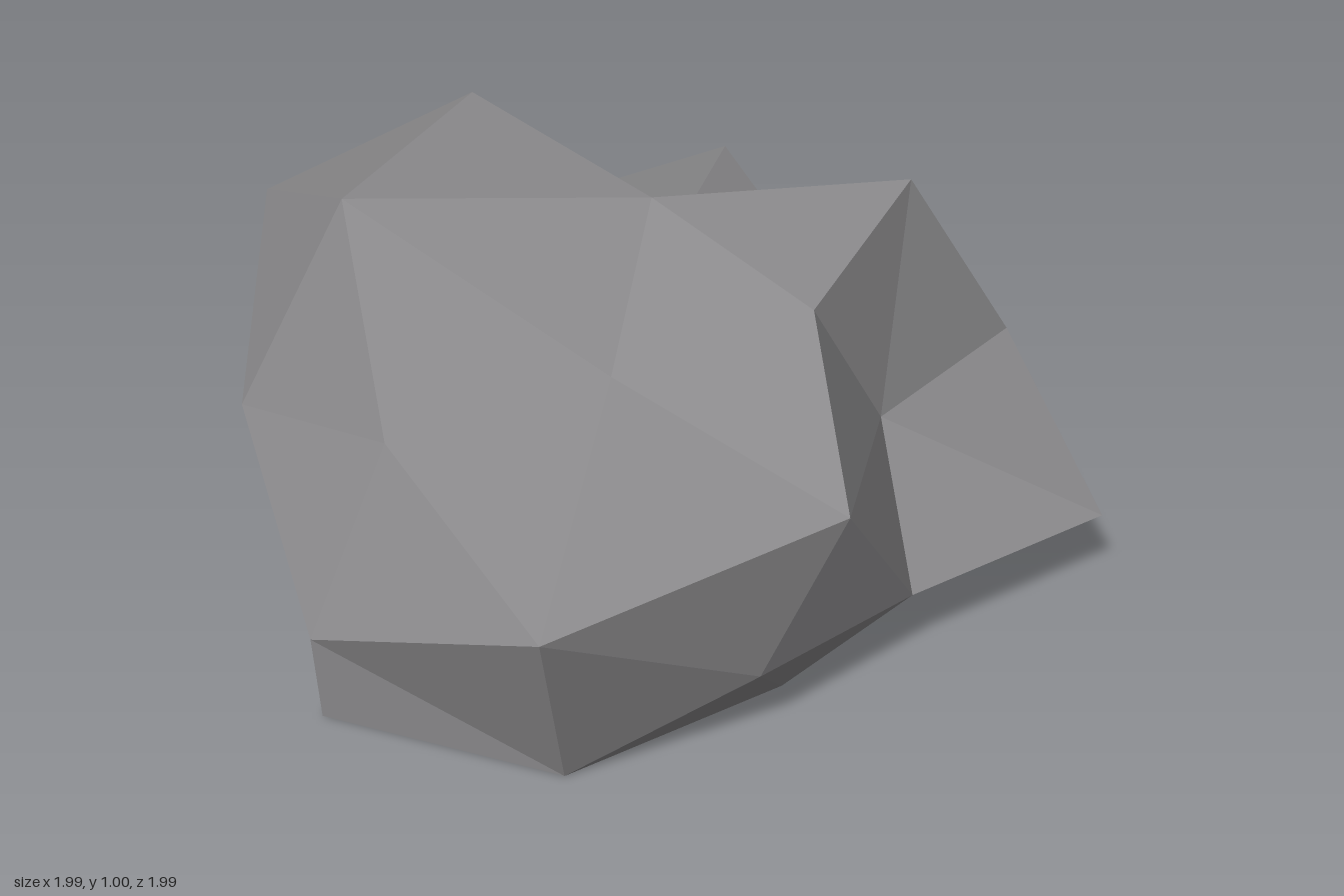
import * as THREE from 'three';

// Distance of each lump and hollow from the rock's core. Each family lists the
// radii of one kind of direction, in the sign order given by its key.
const radii = {
  // straight along an axis
  '1,0,0': 0.835, '-1,0,0': 0.985, '0,1,0': 0.933, '0,-1,0': 0.9, '0,0,1': 1.135, '0,0,-1': 0.685,
  // crown
  '5,9,0': 0.955, '-5,9,0': 1.19,
  '3,8,5': 0.81, '3,8,-5': 1.125, '-3,8,5': 1.27, '-3,8,-5': 0.7,
  // shoulders
  '0,5,9': 1.03, '0,5,-9': 0.74,
  '8,5,3': 1.095, '8,5,-3': 0.69, '-8,5,3': 1.265, '-8,5,-3': 0.86,
  '5,3,8': 1.255, '5,3,-8': 1.01, '-5,3,8': 1.085, '-5,3,-8': 1.23,
  // waist
  '9,0,5': 0.915, '9,0,-5': 1.134, '-9,0,5': 0.805, '-9,0,-5': 0.84,
  // foot
  '0,-5,9': 1.32, '0,-5,-9': 0.855,
  '8,-5,3': 0.82, '8,-5,-3': 0.73, '-8,-5,3': 1.02, '-8,-5,-3': 0.705,
  '5,-3,8': 1.05, '5,-3,-8': 0.69, '-5,-3,8': 0.69, '-5,-3,-8': 0.737,
};
const underside = 0.85;

const core = new THREE.Vector3(0.025, 0.23, -0.07);
const squash = new THREE.Vector3(1, 0.75, 0.935);

function keyOf(v) {
  const axis = Math.max(Math.abs(v.x), Math.abs(v.y), Math.abs(v.z)) > 0.99;
  return v.toArray().map((c) => Math.round(c * (axis ? 1 : 10)) || 0).join(',');
}

export function createModel() {
  const group = new THREE.Group();
  group.name = 'rock';

  const stone = new THREE.MeshStandardMaterial({ color: 0x8a898b });
  stone.name = 'stone grey';
  stone.flatShading = true;

  // Boulder: a faceted ball, pushed in and out, then flattened on the ground
  const geometry = new THREE.IcosahedronGeometry(1, 1);
  const position = geometry.attributes.position;
  const v = new THREE.Vector3();
  for (let i = 0; i < position.count; i++) {
    v.fromBufferAttribute(position, i);
    const r = radii[keyOf(v)] ?? underside;
    v.multiplyScalar(r).multiply(squash).add(core);
    position.setXYZ(i, v.x, Math.max(0, v.y), v.z);
  }
  geometry.deleteAttribute('uv');
  geometry.computeVertexNormals();

  const boulder = new THREE.Mesh(geometry, stone);
  boulder.name = 'boulder';
  group.add(boulder);
  return group;
}
